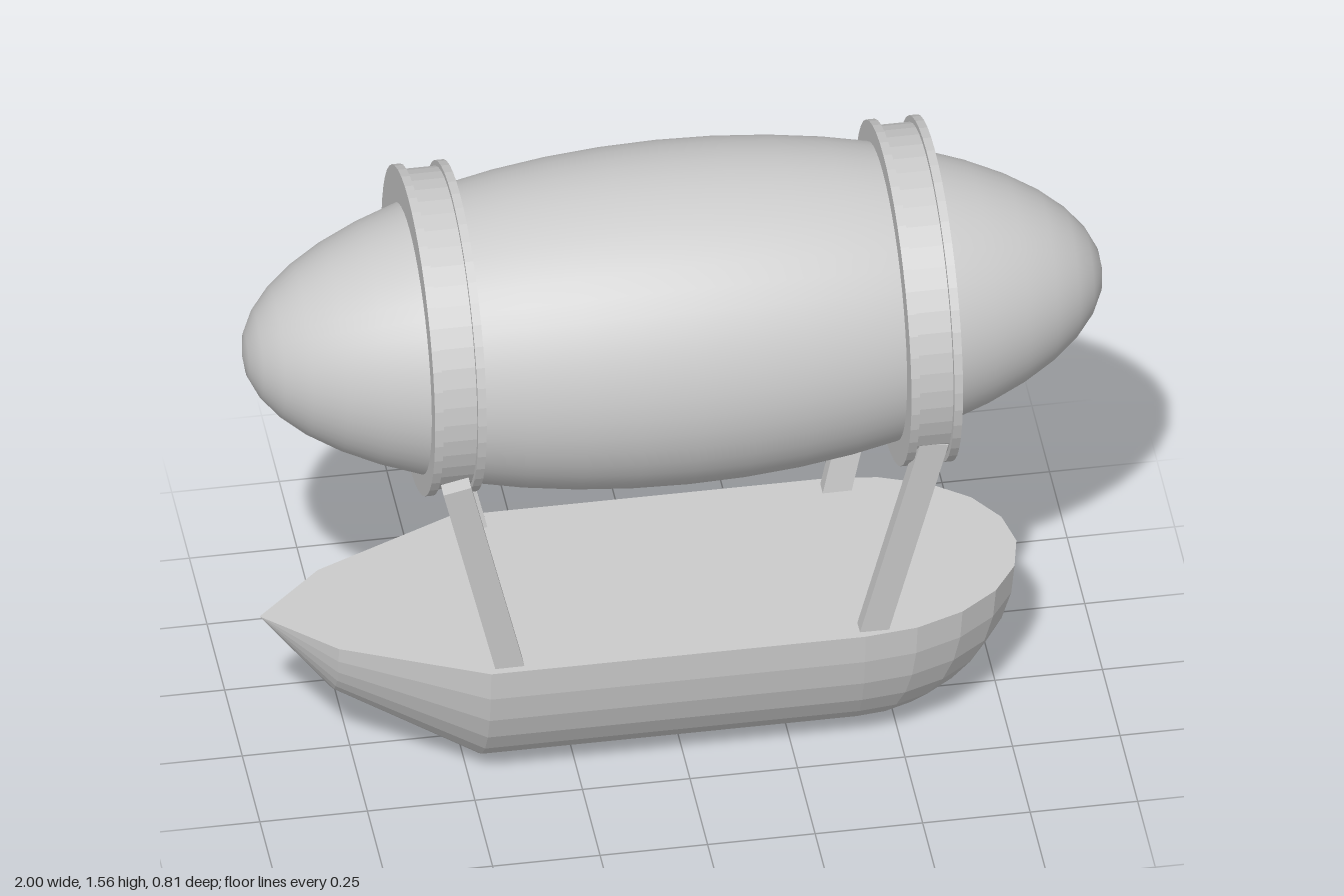
import * as THREE from 'three';

const smooth = new THREE.MeshStandardMaterial({ color: 0xcccccc });
const flat = new THREE.MeshStandardMaterial({ color: 0xcccccc, flatShading: true });

function add(parent, name, geometry, material = flat) {
  const mesh = new THREE.Mesh(geometry, material);
  mesh.name = name;
  parent.add(mesh);
  return mesh;
}

// Lofted hull: half-ellipse sections hanging from deck level, closed by the deck
function hullGeometry(sections, depth, halfWidth, steps) {
  const pos = [], index = [], n = steps + 1;
  for (const [x, s] of sections)
    for (let i = 0; i <= steps; i++) {
      const a = (i / steps) * Math.PI;
      pos.push(x, depth * (1 - s * Math.sin(a)), halfWidth * s * Math.cos(a));
    }
  for (let k = 0; k < sections.length - 1; k++)
    for (let i = 0; i < n; i++) {
      const j = (i + 1) % n;
      const a = k * n + i, b = k * n + j, c = a + n, d = b + n;
      index.push(a, b, c, b, d, c);
    }
  const g = new THREE.BufferGeometry();
  g.setAttribute('position', new THREE.Float32BufferAttribute(pos, 3));
  g.setIndex(index);
  g.computeVertexNormals();
  return g;
}

// Grooved band around the envelope: a drum with a flange at each edge
function band(name, x, y, z, r, drumR) {
  const g = new THREE.Group();
  g.name = name;
  g.position.set(x, y, z);
  const disc = (part, radius, width, dx) => {
    const geo = new THREE.CylinderGeometry(radius, radius, width, 48);
    geo.rotateZ(Math.PI / 2);
    add(g, part, geo).position.x = dx;
  };
  disc('bandDrum', drumR, 0.1, 0);
  for (const s of [-1, 1]) disc('bandFlange', r, 0.02, s * 0.05);
  return g;
}

// Flat bar between two points
function strut(parent, from, to) {
  const dir = to.clone().sub(from);
  const m = add(parent, 'strut', new THREE.BoxGeometry(0.066, dir.length(), 0.036));
  m.position.copy(from).add(to).multiplyScalar(0.5);
  m.quaternion.setFromUnitVectors(new THREE.Vector3(0, 1, 0), dir.normalize());
}

export function createModel() {
  const model = new THREE.Group();
  model.name = 'airship';

  // Gas envelope
  const envelope = new THREE.SphereGeometry(1, 48, 24);
  envelope.rotateZ(Math.PI / 2);
  envelope.scale(1, 0.397, 0.397);
  add(model, 'envelope', envelope, smooth).position.set(0, 1.16, -0.005);

  // Bands
  model.add(band('leftBand', 0.55, 1.16, 0.003, 0.4, 0.385));
  model.add(band('rightBand', -0.55, 1.168, -0.025, 0.383, 0.37));

  // Struts
  for (const sx of [-1, 1])
    for (const sz of [-1, 1])
      strut(model, new THREE.Vector3(sx * 0.41, 0.34, sz * 0.258),
        new THREE.Vector3(sx * 0.555, 0.97, sz * 0.318));

  // Gondola: straight hull with a pointed bow
  const gondola = new THREE.Group();
  gondola.name = 'gondola';
  model.add(gondola);
  const sections = [[-0.96, 0], [-0.8, 0.5], [-0.47, 1], [0.4, 1]];
  add(gondola, 'hull', hullGeometry(sections, 0.4, 0.3, 16));

  // Rounded stern and its piece of deck
  const stern = new THREE.SphereGeometry(1, 10, 8, Math.PI / 2, Math.PI, Math.PI / 2, Math.PI / 2);
  stern.scale(0.4, 0.4, 0.3);
  add(gondola, 'stern', stern).position.set(0.4, 0.4, 0);
  const deck = new THREE.CircleGeometry(1, 10, -Math.PI / 2, Math.PI);
  deck.rotateX(-Math.PI / 2);
  deck.scale(0.4, 1, 0.3);
  add(gondola, 'sternDeck', deck).position.set(0.4, 0.4, 0);

  return model;
}
